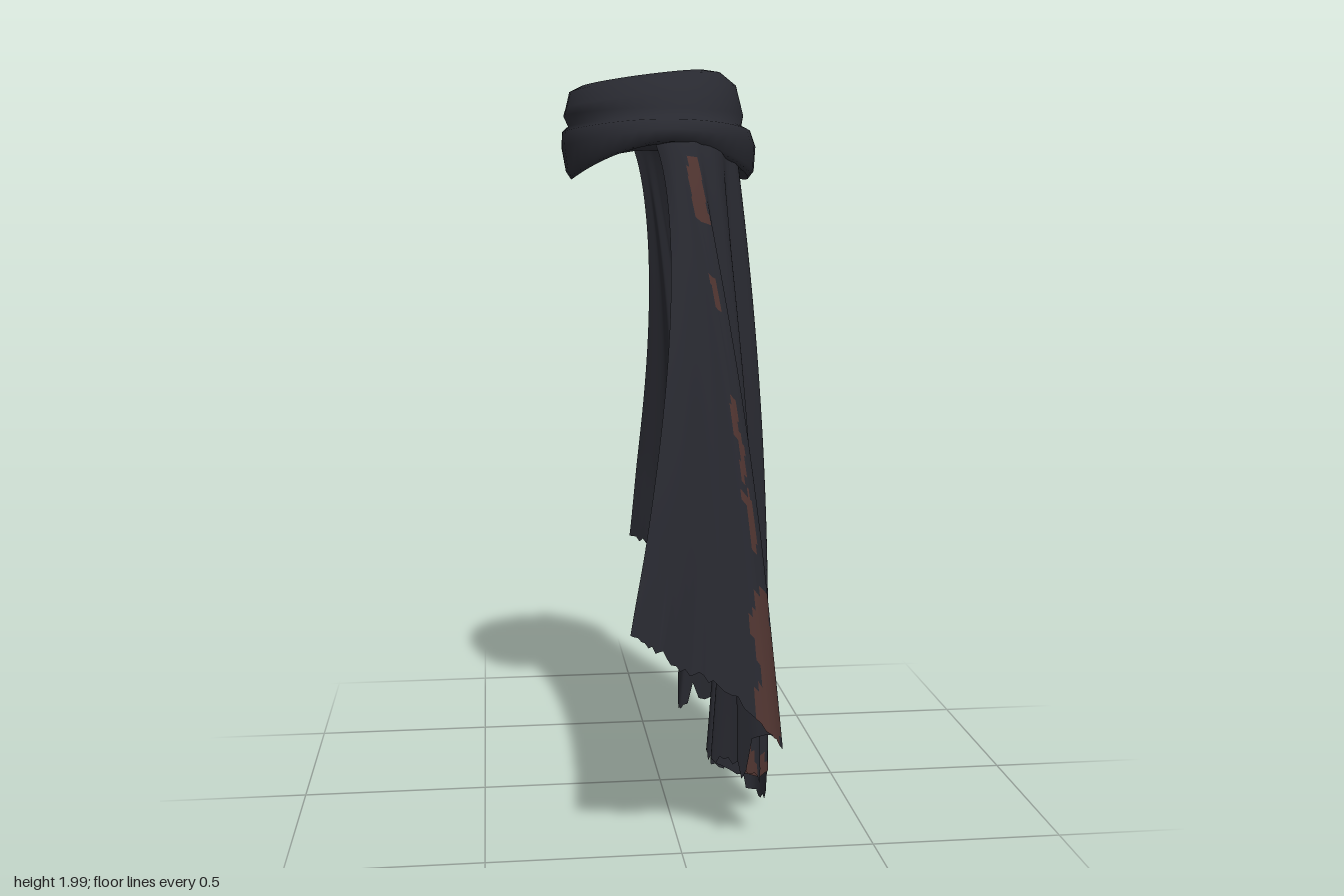
import * as THREE from 'three';

const cloth = new THREE.MeshStandardMaterial({ color: 0x282930, side: THREE.DoubleSide });
cloth.name = 'darkCloth';
const stain = new THREE.MeshStandardMaterial({ color: 0x4f3430, side: THREE.DoubleSide });
stain.name = 'rustStain';

let seed = 7;
const rand = () => (seed = (seed * 16807) % 2147483647) / 2147483647;
const { lerp, smoothstep, degToRad } = THREE.MathUtils;

// Hem corners of the pleats: x, z, height
const HEM = [
  [-0.15, 0.715, 0.63], [-0.06, 0.68, 0.57], [0.06, 0.625, 0.51], [0.2, 0.63, 0.37],
  [0.24, 0.58, 0.3], [0.14, 0.5, 0.25], [0.21, 0.45, 0.2], [0.18, 0.37, 0.17],
  [0.1, 0.31, 0.17], [0.26, 0.28, 0.1], [0.24, 0.19, 0.1], [0.11, 0.2, 0.2],
  [0.12, 0.15, 0.2], [0.23, 0.13, 0.16], [0.23, -0.03, 0.05], [0.26, -0.13, 0.08],
  [0.25, -0.27, 0.12], [0.09, -0.24, 0.2], [0.1, -0.29, 0.26], [0.27, -0.31, 0.25],
  [0.25, -0.37, 0.26], [0.11, -0.39, 0.29], [0.19, -0.47, 0.3], [0.24, -0.56, 0.36],
  [0.22, -0.61, 0.38], [0.11, -0.57, 0.5], [0.08, -0.69, 0.55], [-0.02, -0.72, 0.62],
];

// Stains: first and last pleat position, lowest and highest point
const STAINS = [
  [2.7, 4.0, 1.62, 1.77], [2.9, 3.4, 1.42, 1.5], [2.9, 3.3, 1.0, 1.2],
  [2.95, 3.35, 0.83, 0.97], [2.8, 3.7, 0.36, 0.73],
  [5.3, 5.7, 0.2, 0.3], [8.55, 9.1, 0.0, 0.19],
];

function isStained(t, y) {
  const wob = 0.1 * Math.sin(y * 37) + 0.05 * Math.sin(y * 83);
  return STAINS.some(([a, b, lo, hi]) => t > a + wob && t < b + wob * 0.6 && y > lo && y < hi);
}

// Pleated sheet hung from the shoulders, with a torn hem
function makeCape() {
  const cols = 270, rows = 56, last = HEM.length - 1;
  const curve = new THREE.CatmullRomCurve3(
    HEM.map(([x, z, y]) => new THREE.Vector3(x, y, z)), false, 'centripetal');
  const pos = [], clothIdx = [], stainIdx = [];
  let tear = 0, target = 0;
  for (let i = 0; i <= cols; i++) {
    const f = i / cols;
    const hem = curve.getPoint(f);
    const angle = degToRad(118 * (1 - 2 * f));
    const c = Math.cos(angle), s = Math.sin(angle);
    const topX = 0.01 + 0.19 * c, topY = 1.85 - 0.03 * c * c, topZ = 0.02 + 0.29 * s;
    // free edges curl in over the shoulders
    const curl = 0.12 * Math.max(0, -c);
    // broad tears drift towards a new length every few columns
    if (rand() < 0.28) target = (rand() - 0.55) * 0.13;
    tear = lerp(tear, target, 0.6);
    const jag = tear + (rand() - 0.5) * 0.02;
    for (let j = 0; j <= rows; j++) {
      const u = j / rows;
      const bow = Math.sin(Math.PI * Math.sqrt(u));
      // pleats on the outer side open sooner than the free edges
      const open = u ** (1 - 0.3 * Math.max(0, c));
      pos.push(
        lerp(topX, hem.x, open) + 0.025 * Math.sin(Math.PI * u) + curl * bow,
        Math.max(0, lerp(topY, hem.y, u) + jag * smoothstep(u, 0.8, 1)),
        lerp(topZ, hem.z, u) + 0.06 * bow * s);
    }
  }
  for (let i = 0; i < cols; i++) {
    for (let j = 0; j < rows; j++) {
      const a = i * (rows + 1) + j, b = a + rows + 1;
      const list = isStained(((i + 0.5) / cols) * last, pos[a * 3 + 1]) ? stainIdx : clothIdx;
      list.push(a, a + 1, b, b, a + 1, b + 1);
    }
  }
  const g = new THREE.BufferGeometry();
  g.setAttribute('position', new THREE.Float32BufferAttribute(pos, 3));
  g.setIndex([...clothIdx, ...stainIdx]);
  g.addGroup(0, clothIdx.length, 0);
  g.addGroup(clothIdx.length, stainIdx.length, 1);
  g.computeVertexNormals();
  const mesh = new THREE.Mesh(g, [cloth, stain]);
  mesh.name = 'cape';
  return mesh;
}

// Cowl rings from the inside edge, over both folds, to the shallow top:
// centre x, centre z, radius x, radius z, height, droop at the +x and -x sides
const COWL = [
  [-0.01, 0.035, 0.21, 0.27, 1.85, 0.08],
  [-0.01, 0.035, 0.235, 0.3, 1.8, 0.085],
  [-0.01, 0.04, 0.25, 0.315, 1.805, 0.07],
  [-0.01, 0.04, 0.258, 0.315, 1.835, 0.035],
  [-0.012, 0.04, 0.25, 0.295, 1.86, 0.02],
  [-0.015, 0.035, 0.23, 0.262, 1.868, 0.015],
  [-0.02, 0.035, 0.238, 0.26, 1.89, 0.01],
  [-0.03, 0.035, 0.225, 0.238, 1.93, 0.0],
  [-0.045, 0.035, 0.2, 0.2, 1.968, 0.0],
  [-0.05, 0.04, 0.165, 0.17, 1.978, 0.0],
  [-0.045, 0.045, 0.135, 0.14, 1.97, 0.0],
  [-0.04, 0.045, 0.08, 0.09, 1.962, 0.0],
  [-0.035, 0.045, 0.0, 0.0, 1.96, 0.0],
];

function makeCowl() {
  const sides = 40, pos = [], idx = [];
  COWL.forEach(([cx, cz, rx, rz, y, droop], r) => {
    const wobble = rx > 0.2 ? 0.018 : 0;
    const tilt = r > 6 ? 0.13 * rx : 0;
    for (let s = 0; s < sides; s++) {
      const a = (s / sides) * Math.PI * 2, c = Math.cos(a), d = Math.sin(a);
      const wave = 1 + wobble * Math.sin(3 * a + r * 0.9);
      pos.push(cx + rx * c * wave, y - droop * c * c + tilt * c, cz + rz * d * wave);
      if (r < COWL.length - 1) {
        const n = (s + 1) % sides, p = r * sides;
        idx.push(p + s, p + sides + s, p + n, p + n, p + sides + s, p + sides + n);
      }
    }
  });
  const g = new THREE.BufferGeometry();
  g.setAttribute('position', new THREE.Float32BufferAttribute(pos, 3));
  g.setIndex(idx);
  g.computeVertexNormals();
  const mesh = new THREE.Mesh(g, cloth);
  mesh.name = 'cowl';
  return mesh;
}

export function createModel() {
  const model = new THREE.Group();
  model.name = 'tatteredCape';
  model.add(makeCape(), makeCowl());
  return model;
}
